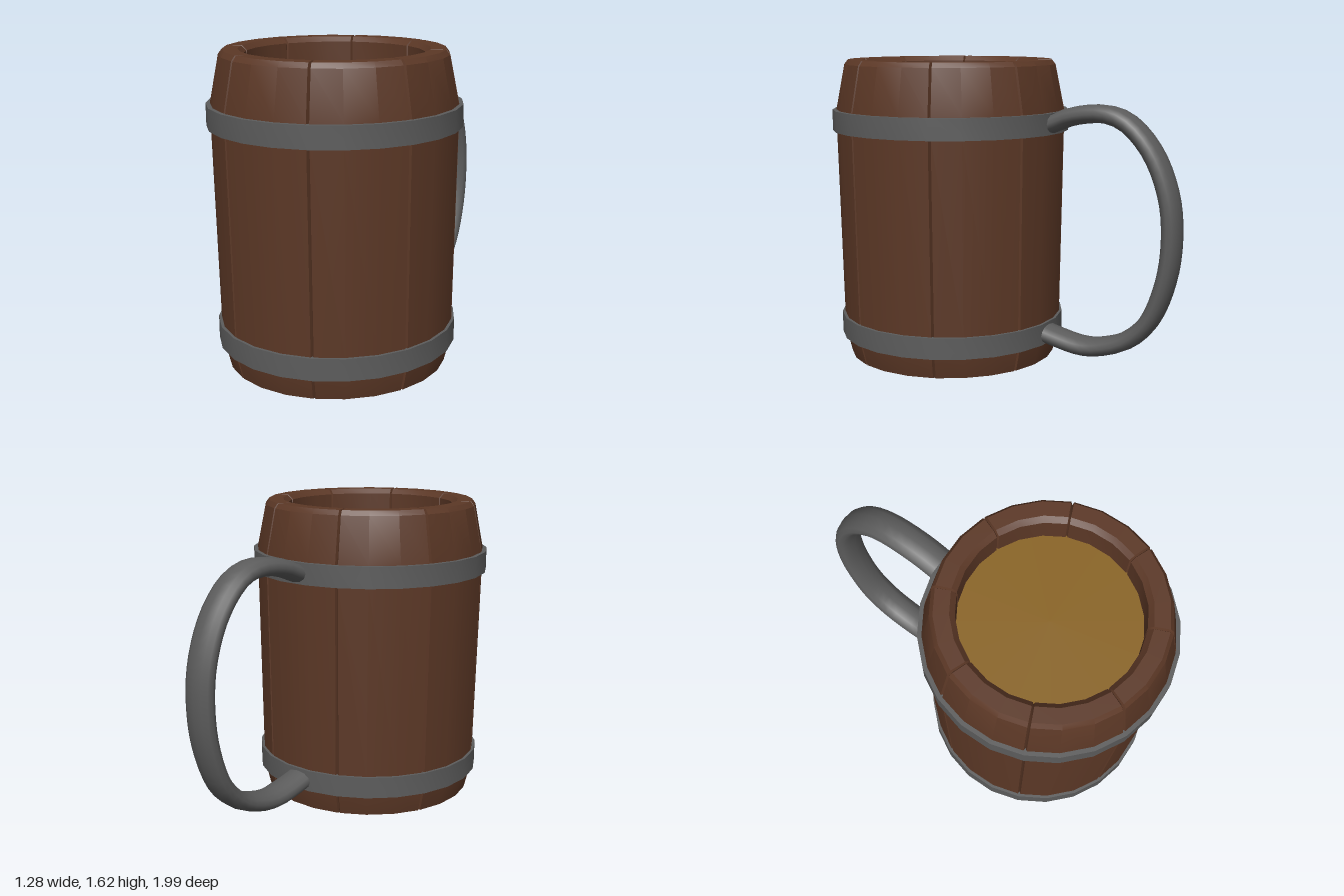
import * as THREE from 'three';
import { toCreasedNormals } from 'three/addons/utils/BufferGeometryUtils.js';

const STAVES = 8;
const AXIS_Z = 0.35; // the body sits forward of the handle
const deg = THREE.MathUtils.degToRad;
const v2 = (list) => list.map(([r, y]) => new THREE.Vector2(r, y));

const wood = new THREE.MeshStandardMaterial({ name: 'brown wood', color: 0x5c3826 });
const metal = new THREE.MeshStandardMaterial({ name: 'grey iron', color: 0x5c5c5c });
const ale = new THREE.MeshStandardMaterial({ name: 'amber drink', color: 0x8a6423 });

function part(name, geometry, material, z = 0) {
  const mesh = new THREE.Mesh(geometry, material);
  mesh.name = name;
  mesh.position.z = z;
  return mesh;
}

// Barrel of staves: a lathe whose seam columns are pinched into narrow grooves
function barrelGeometry() {
  const profile = [
    [0, 0], [0.57, 0], [0.602, 0.13], [0.604, 0.22], [0.622, 1.25], [0.622, 1.36],
    [0.574, 1.6], [0.555, 1.625], [0.478, 1.625], [0.452, 1.6], [0.452, 1.43],
  ];
  const groove = [
    [0, 0], [0.56, 0], [0.587, 0.13], [0.589, 0.22], [0.607, 1.25], [0.607, 1.36],
    [0.56, 1.592], [0.548, 1.61], [0.48, 1.61], [0.46, 1.592], [0.46, 1.43],
  ];
  // column angles inside one stave, starting at its seam
  const columns = [0, 0.7, 15, 30, 44.3];
  const geometry = new THREE.LatheGeometry(v2(profile), STAVES * columns.length);
  const pos = geometry.attributes.position;
  for (let i = 0; i < pos.count; i++) {
    const column = Math.floor(i / profile.length);
    const k = column % columns.length;
    const stave = Math.floor(column / columns.length);
    const angle = deg(22.5 + stave * 45 + columns[k]);
    const [r, y] = (k === 0 ? groove : profile)[i % profile.length];
    pos.setXYZ(i, r * Math.sin(angle), y, r * Math.cos(angle));
  }
  return toCreasedNormals(geometry, 0.45);
}

// Flat hoop with a closed rectangular section
function hoopGeometry(inner, outer, y0, y1) {
  const section = v2([[inner, y0], [outer, y0], [outer, y1], [inner, y1], [inner, y0]]);
  return toCreasedNormals(new THREE.LatheGeometry(section, 24, deg(7.5)), 0.5);
}

// Handle: a bent tube widened sideways into a flattened bar
function handleGeometry() {
  const path = [
    [-0.21, 1.275], [-0.29, 1.303], [-0.4, 1.345], [-0.59, 1.362], [-0.71, 1.318],
    [-0.84, 1.18], [-0.925, 0.985], [-0.952, 0.8], [-0.932, 0.555], [-0.842, 0.313],
    [-0.727, 0.198], [-0.6, 0.145], [-0.48, 0.126], [-0.3, 0.156], [-0.21, 0.18],
  ].map(([z, y]) => new THREE.Vector3(0, y, z));
  const radius = 0.048;
  const geometry = new THREE.TubeGeometry(new THREE.CatmullRomCurve3(path), 40, radius, 12);
  const pos = geometry.attributes.position;
  for (let i = 0; i < pos.count; i++) {
    const x = pos.getX(i);
    pos.setX(i, Math.sign(x) * 0.087 * Math.pow(Math.abs(x) / radius, 0.85));
  }
  return toCreasedNormals(geometry, 1.0);
}

export function createModel() {
  const mug = new THREE.Group();
  mug.name = 'mug';

  mug.add(part('barrel', barrelGeometry(), wood, AXIS_Z));
  mug.add(part('upperHoop', hoopGeometry(0.6, 0.644, 1.245, 1.358), metal, AXIS_Z));
  mug.add(part('lowerHoop', hoopGeometry(0.58, 0.619, 0.115, 0.23), metal, AXIS_Z));
  mug.add(part('handle', handleGeometry(), metal));

  // Surface of the drink, a little below the rim
  const drink = part('drink', new THREE.CircleGeometry(0.46, 32).rotateX(-Math.PI / 2), ale, AXIS_Z);
  drink.position.y = 1.455;
  mug.add(drink);

  return mug;
}
